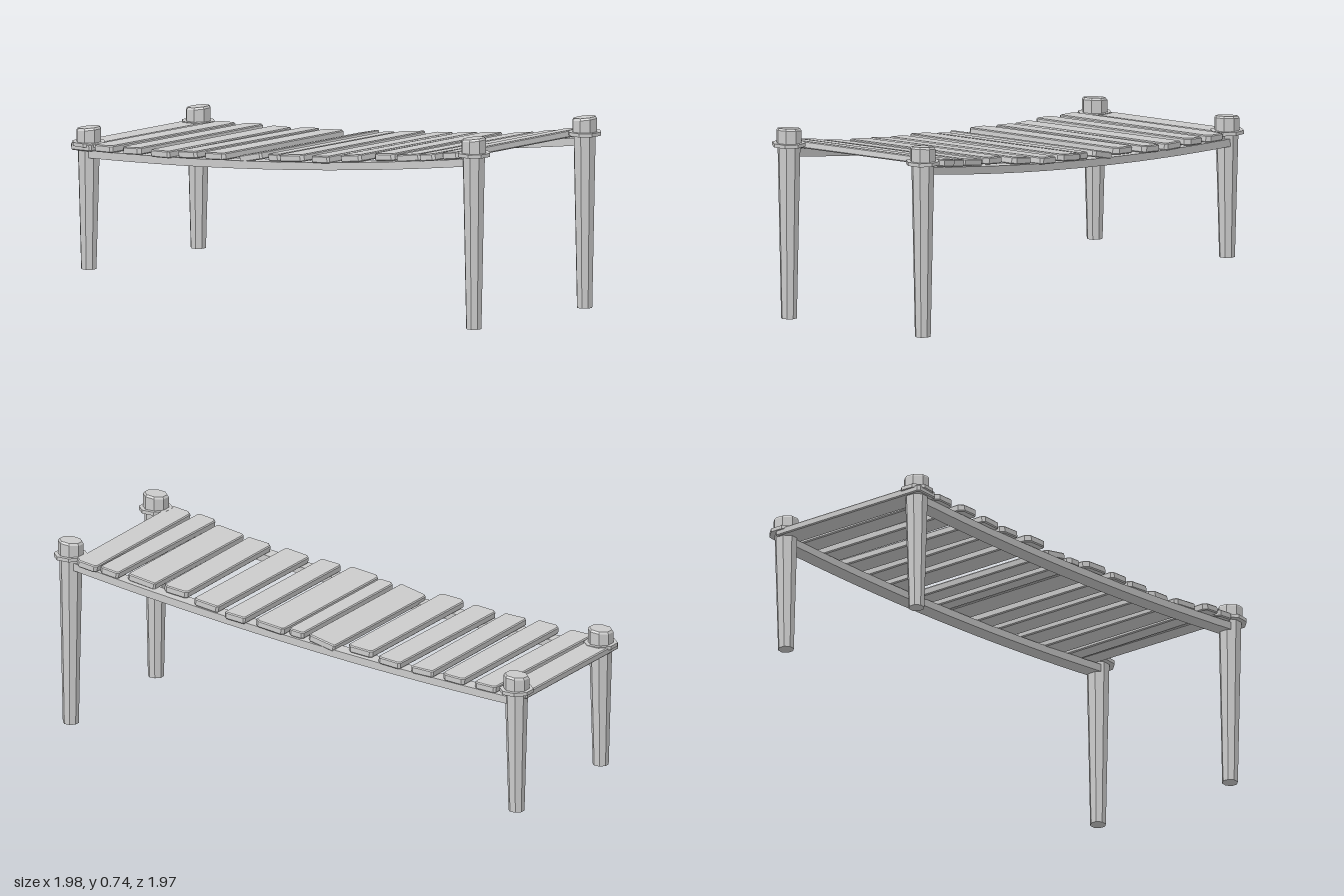
import * as THREE from 'three';

const material = new THREE.MeshStandardMaterial({ color: 0xcccccc, flatShading: true });

// Underside height of the sagging walkway at distance u along it
const sag = (u) => 0.505 + 0.1 * u + 0.03 * u * u;
const slope = (u) => 0.1 + 0.06 * u;

function add(parent, name, geometry) {
  const mesh = new THREE.Mesh(geometry, material);
  mesh.name = name;
  parent.add(mesh);
  return mesh;
}

// Tapered octagonal post with a collar and a slanted head
function makePost(name, u, v, height) {
  const post = new THREE.Group();
  post.name = name;
  const collarY = height - 0.062;
  add(post, 'shaft', new THREE.CylinderGeometry(0.045, 0.031, collarY, 8).translate(0, collarY / 2, 0));
  add(post, 'collar', new THREE.CylinderGeometry(0.066, 0.066, 0.014, 8).translate(0, collarY, 0));

  const profile = [[0.05, collarY], [0.05, height - 0.008], [0.044, height], [0, height]];
  const head = new THREE.LatheGeometry(profile.map(([r, y]) => new THREE.Vector2(r, y)), 8);
  const p = head.attributes.position;
  for (let i = 0; i < p.count; i++) {
    if (p.getY(i) > collarY + 0.02) p.setY(i, p.getY(i) + 0.1 * p.getX(i));
  }
  add(post, 'head', head);
  post.position.set(u, 0, -v);
  post.rotation.y = Math.PI / 8;
  return post;
}

// Long bearer bent to follow the sag
function makeRail(v) {
  const geometry = new THREE.BoxGeometry(2, 0.03, 0.062, 16, 1, 1);
  const p = geometry.attributes.position;
  for (let i = 0; i < p.count; i++) {
    p.setY(i, p.getY(i) + 0.015 + sag(p.getX(i)));
  }
  return geometry.translate(0, 0, -v);
}

// Board with clipped corners and a small bevel
function plankGeometry(width, length, clip) {
  const b = 0.004;
  const w = width / 2 - b;
  const l = length / 2 - b;
  const shape = new THREE.Shape([
    [-w + clip, -l], [w - clip * 0.6, -l], [w, -l + clip * 0.6], [w, l - clip],
    [w - clip, l], [-w + clip * 0.5, l], [-w, l - clip * 0.5], [-w, -l + clip],
  ].map(([x, y]) => new THREE.Vector2(x, y)));
  const geometry = new THREE.ExtrudeGeometry(shape, {
    depth: 0.02, bevelEnabled: true, bevelThickness: b, bevelSize: b, bevelSegments: 1,
  });
  return geometry.translate(0, 0, -0.01).rotateX(-Math.PI / 2);
}

// Boards: start u, end u, end across (-v), end across (+v), yaw, roll
const planks = [
  [-1.05, -0.943, -0.36, 0.33, 0, 0],
  [-0.928, -0.83, -0.36, 0.356, -0.01, 0],
  [-0.785, -0.685, -0.365, 0.36, 0, 0.02],
  [-0.642, -0.543, -0.36, 0.358, 0.01, -0.02],
  [-0.505, -0.403, -0.352, 0.362, -0.01, 0.02],
  [-0.362, -0.25, -0.365, 0.338, 0, 0],
  [-0.205, -0.085, -0.335, 0.353, 0, 0.14],
  [-0.06, 0.008, -0.335, 0.345, 0, 0],
  [0.016, 0.148, -0.358, 0.365, 0, 0.02],
  [0.186, 0.279, -0.355, 0.37, 0, -0.02],
  [0.318, 0.43, -0.34, 0.35, 0, 0.02],
  [0.474, 0.583, -0.325, 0.325, 0.01, -0.02],
  [0.61, 0.735, -0.34, 0.33, 0, 0.02],
  [0.757, 0.842, -0.372, 0.355, -0.01, 0],
  [0.85, 0.945, -0.356, 0.375, 0.01, 0],
];

export function createModel() {
  const model = new THREE.Group();
  model.name = 'footbridge';

  // Walkway built along x, then turned onto the diagonal
  const bridge = new THREE.Group();
  bridge.name = 'bridge';
  bridge.rotation.y = -Math.PI / 4;
  model.add(bridge);

  bridge.add(
    makePost('lowPostRight', -0.997, -0.308, 0.55),
    makePost('lowPostLeft', -0.997, 0.318, 0.55),
    makePost('highPostRight', 0.99, -0.311, 0.74),
    makePost('highPostLeft', 0.99, 0.322, 0.74),
  );

  add(bridge, 'railRight', makeRail(-0.308));
  add(bridge, 'railLeft', makeRail(0.32));

  planks.forEach(([u0, u1, v0, v1, yaw, roll], i) => {
    const u = (u0 + u1) / 2;
    const plank = add(bridge, `plank${i + 1}`, plankGeometry(u1 - u0, v1 - v0, 0.008 + 0.004 * (i % 3)));
    plank.position.set(u, sag(u) + 0.043 + 0.002 * (i % 3), -(v0 + v1) / 2);
    plank.rotation.set(0, yaw, Math.atan(slope(u)) + roll);
  });

  return model;
}
